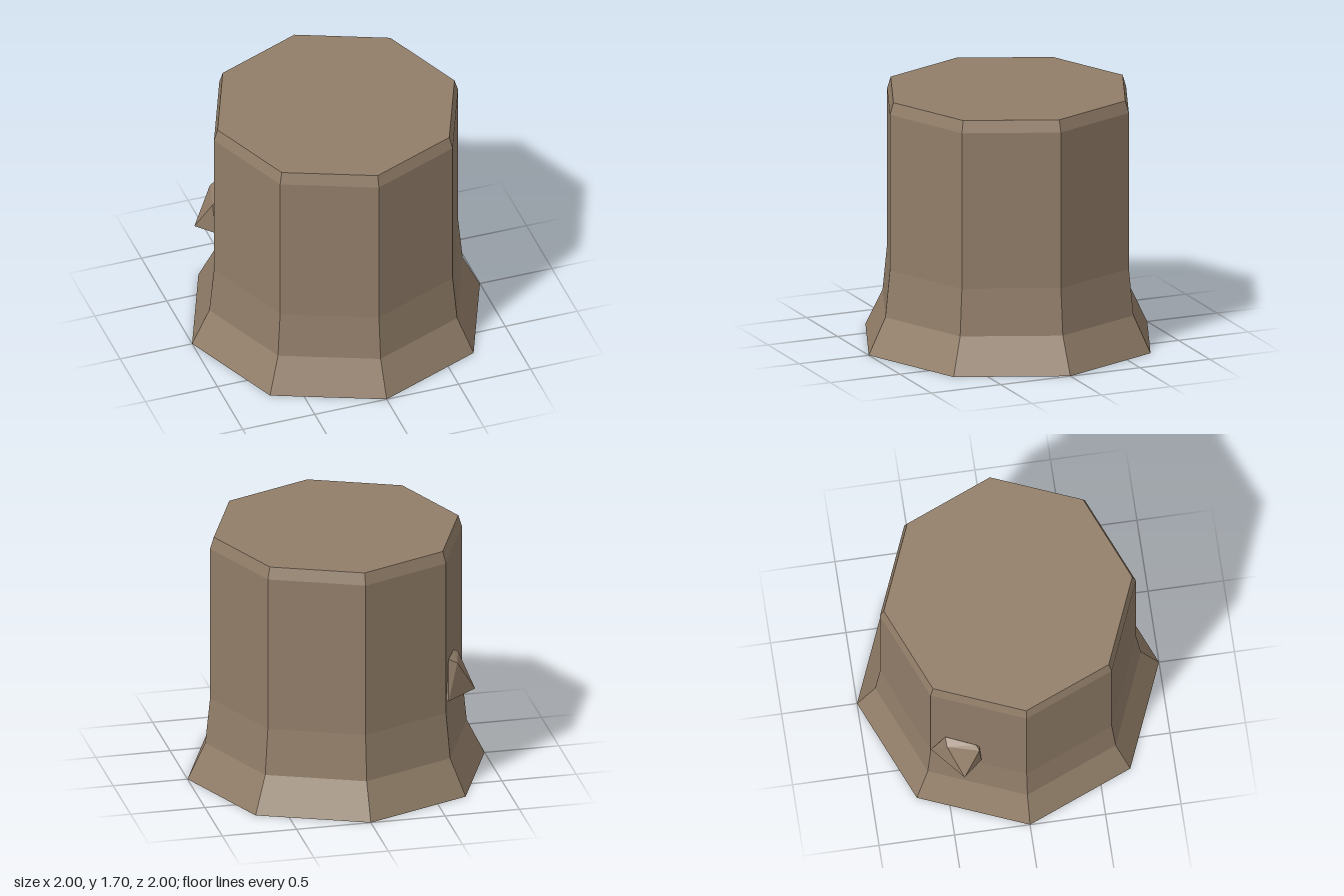
import * as THREE from 'three';
import { ConvexGeometry } from 'three/addons/geometries/ConvexGeometry.js';

export function createModel() {
  const model = new THREE.Group();
  model.name = 'treeStump';

  const bark = new THREE.MeshStandardMaterial({ color: 0x927e69, flatShading: true });
  bark.name = 'bark brown';

  // Eight-sided trunk: flared foot, straight sides, bevelled rim, closed ends
  const profile = [
    [0, 0], [1, 0], [0.88, 0.245], [0.848, 0.56], [0.848, 1.62], [0.823, 1.7], [0, 1.7],
  ].map(([r, y]) => new THREE.Vector2(r, y));
  const trunkGeometry = new THREE.LatheGeometry(profile, 8).toNonIndexed();
  trunkGeometry.computeVertexNormals();
  const trunk = new THREE.Mesh(trunkGeometry, bark);
  trunk.name = 'trunk';
  model.add(trunk);

  // Broken branch stub; local x runs along the trunk face, z points out of it
  const stubPoints = [
    // lower edge
    [-0.317, 0.64, 0.8], [-0.057, 0.635, 0.933], [0.02, 0.64, 0.79],
    // upper outer edge
    [-0.245, 0.825, 0.8], [-0.2, 0.868, 0.838], [0.012, 0.862, 0.809],
    // upper edge against the bark
    [-0.226, 0.9, 0.785], [-0.017, 0.885, 0.785],
    // roots inside the trunk
    [-0.29, 0.65, 0.76], [0.01, 0.65, 0.76], [-0.2, 0.88, 0.76], [0, 0.87, 0.76],
  ].map((p) => new THREE.Vector3(...p));
  const stub = new THREE.Mesh(new ConvexGeometry(stubPoints), bark);
  stub.name = 'branchStub';
  stub.rotation.y = THREE.MathUtils.degToRad(247.5);
  model.add(stub);

  return model;
}
